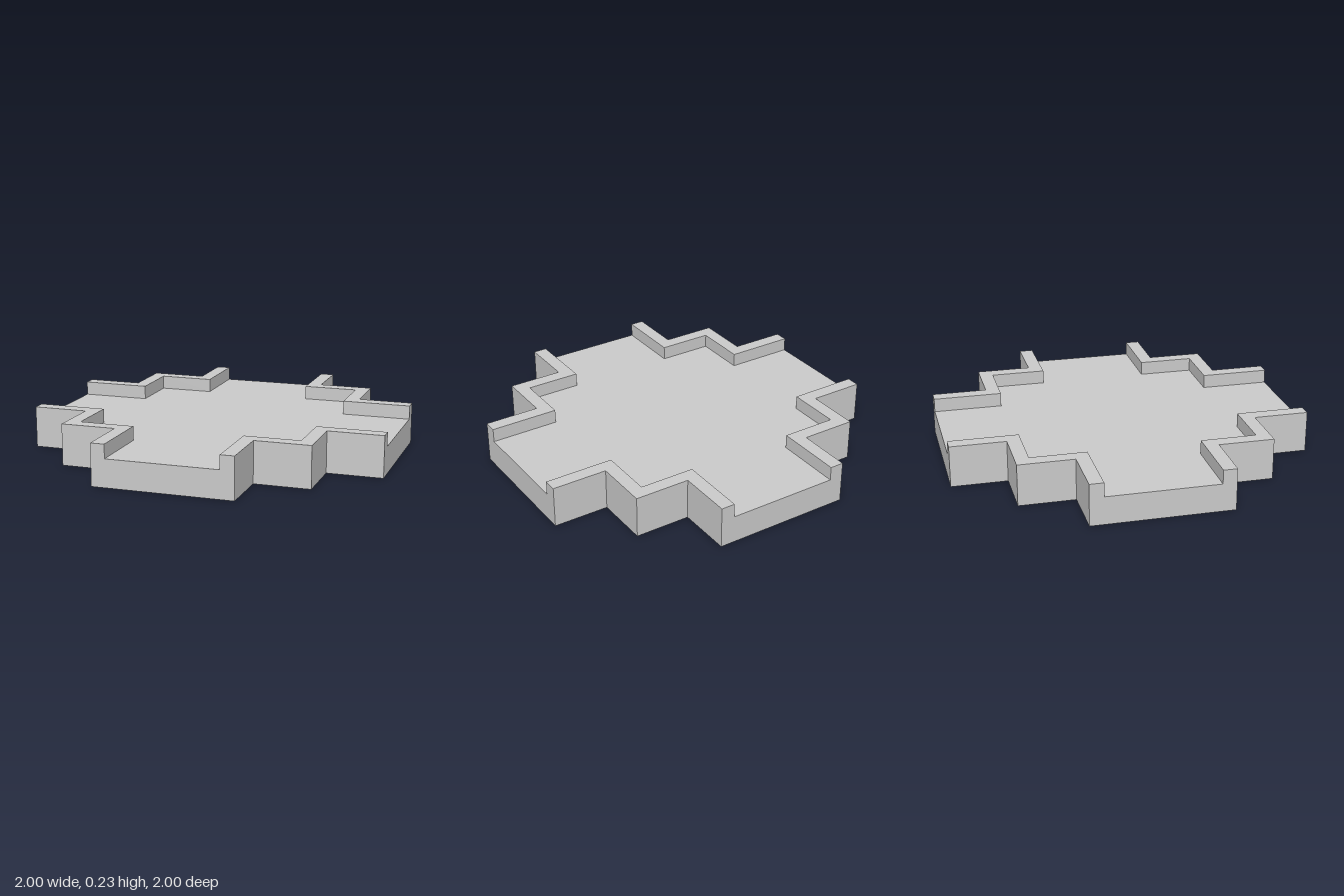
import * as THREE from 'three';

// All sizes are whole steps of a 26-step-wide plan
const U = 1 / 13;
const FLOOR = 2 * U;
const WALL = 1 * U;

// Stepped edge of one quadrant, outside and inside of the wall
const outer = [[13, 5], [9, 5], [9, 9], [5, 9], [5, 13]];
const inner = [[4, 13], [4, 8], [8, 8], [8, 4], [13, 4]];

const toShape = (points) =>
  new THREE.Shape(points.map(([x, y]) => new THREE.Vector2(x * U, y * U)));

// Plan outline raised from height y
function slab(points, y, height, material, name) {
  const geometry = new THREE.ExtrudeGeometry(toShape(points), { depth: height, bevelEnabled: false });
  geometry.rotateX(-Math.PI / 2).translate(0, y, 0);
  const mesh = new THREE.Mesh(geometry, material);
  mesh.name = name;
  return mesh;
}

export function createModel() {
  const group = new THREE.Group();
  group.name = 'steppedCrossPlatform';
  const material = new THREE.MeshStandardMaterial({ color: 0xcccccc, flatShading: true });

  // Base: the stepped edge turned through four quarters
  const outline = [];
  let quarter = outer;
  for (let i = 0; i < 4; i++) {
    outline.push(...quarter);
    quarter = quarter.map(([x, y]) => [-y, x]);
  }
  group.add(slab(outline, 0, FLOOR, material, 'base'));

  // Parapets: one zigzag wall per corner, leaving the four arm ends open
  const names = ['backLeft', 'backRight', 'frontRight', 'frontLeft'];
  names.forEach((name, i) => {
    const wall = slab([...outer, ...inner], FLOOR, WALL, material, name + 'Parapet');
    wall.rotation.y = i * Math.PI / 2;
    group.add(wall);
  });

  return group;
}
